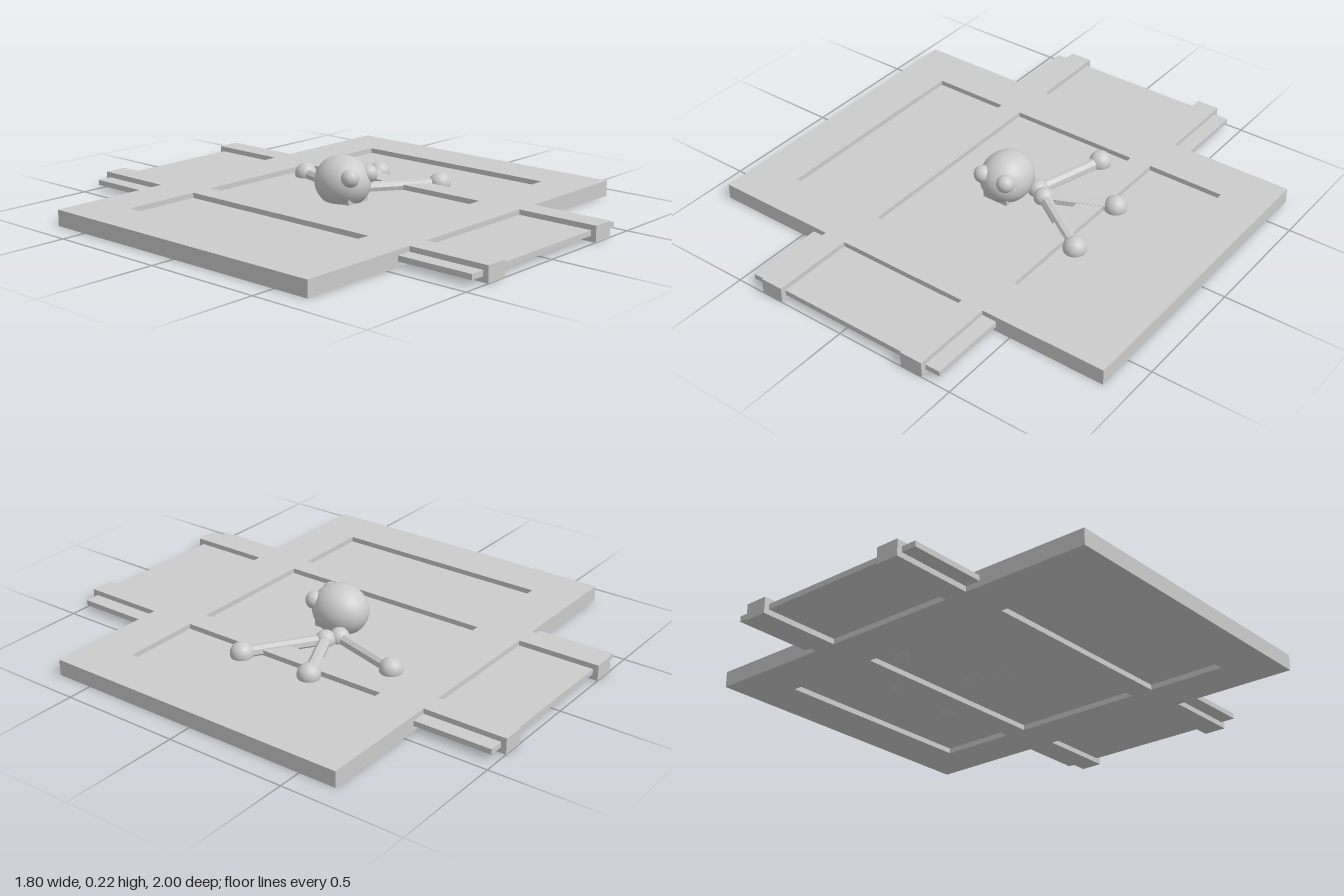
import * as THREE from 'three';

export function createModel() {
  const model = new THREE.Group();
  const grey = new THREE.MeshStandardMaterial({ color: 0xcccccc });
  const flat = new THREE.MeshStandardMaterial({ color: 0xcccccc, flatShading: true });

  function add(name, geometry, x, y, z, material = grey) {
    const mesh = new THREE.Mesh(geometry, material);
    mesh.name = name;
    mesh.position.set(x, y, z);
    model.add(mesh);
    return mesh;
  }
  const ball = (name, r, x, y, z) => add(name, new THREE.SphereGeometry(r, 32, 20), x, y, z);

  // Frame outline with two rails running out at the front and back
  const H = 0.065, W = 0.9, D = 0.655, railIn = 0.283, railOut = 0.378;
  const quarter = [[railIn, D], [railIn, 1], [railOut, 1], [railOut, D], [W, D]];
  const flipX = quarter.map(([x, z]) => [-x, z]).reverse();
  const front = [...flipX, ...quarter];
  const back = front.map(([x, z]) => [-x, -z]);
  const toPoints = (list) => list.map(([x, z]) => new THREE.Vector2(x, z));
  const outline = new THREE.Shape(toPoints([...front, ...back]));

  // Three window openings
  const win = 0.463;
  for (const [a, b] of [[-0.707, -railOut], [-railIn, railIn], [railOut, 0.707]]) {
    outline.holes.push(new THREE.Path(toPoints([[a, -win], [b, -win], [b, win], [a, win]])));
  }
  const frameGeometry = new THREE.ExtrudeGeometry(outline, { depth: H, bevelEnabled: false });
  frameGeometry.rotateX(-Math.PI / 2);
  add('frame', frameGeometry, 0, 0, 0);

  // Thin panels set in the middle of the frame's thickness
  const panelY = 0.033, panelT = 0.022;
  add('longPanel', new THREE.BoxGeometry(0.88, panelT, 1.956), 0, panelY, 0);
  for (const s of [-1, 1]) {
    add('sidePanel', new THREE.BoxGeometry(0.36, panelT, 0.96), s * 0.55, panelY, 0);
  }

  // Head with eyes and a square neck block
  ball('head', 0.105, 0, 0.12, 0).scale.z = 1.14;
  for (const s of [-1, 1]) ball('eye', 0.036, s * 0.055, 0.155, 0.088);
  add('neck', new THREE.BoxGeometry(0.115, 0.04, 0.13), 0, 0.055, 0.018);

  // Arm: two joints, three rods and a ball on each tip
  const armY = 0.056;
  const shoulder = new THREE.Vector3(0.1, armY, -0.07);
  const elbow = new THREE.Vector3(0.15, armY, -0.04);
  for (const p of [shoulder, elbow]) ball('joint', 0.041, p.x, p.y, p.z);

  function rod(a, b) {
    const dir = b.clone().sub(a);
    const mid = a.clone().add(b).multiplyScalar(0.5);
    const geometry = new THREE.CylinderGeometry(0.025, 0.025, dir.length(), 8);
    const mesh = add('rod', geometry, mid.x, mid.y, mid.z, flat);
    mesh.quaternion.setFromUnitVectors(new THREE.Vector3(0, 1, 0), dir.normalize());
  }
  rod(shoulder, elbow);
  for (const [start, x, z] of [[shoulder, 0.19, -0.38], [elbow, 0.41, -0.16], [elbow, 0.43, 0.15]]) {
    const tip = new THREE.Vector3(x, armY, z);
    rod(start, tip);
    ball('tip', 0.046, tip.x, tip.y, tip.z);
  }
  return model;
}
